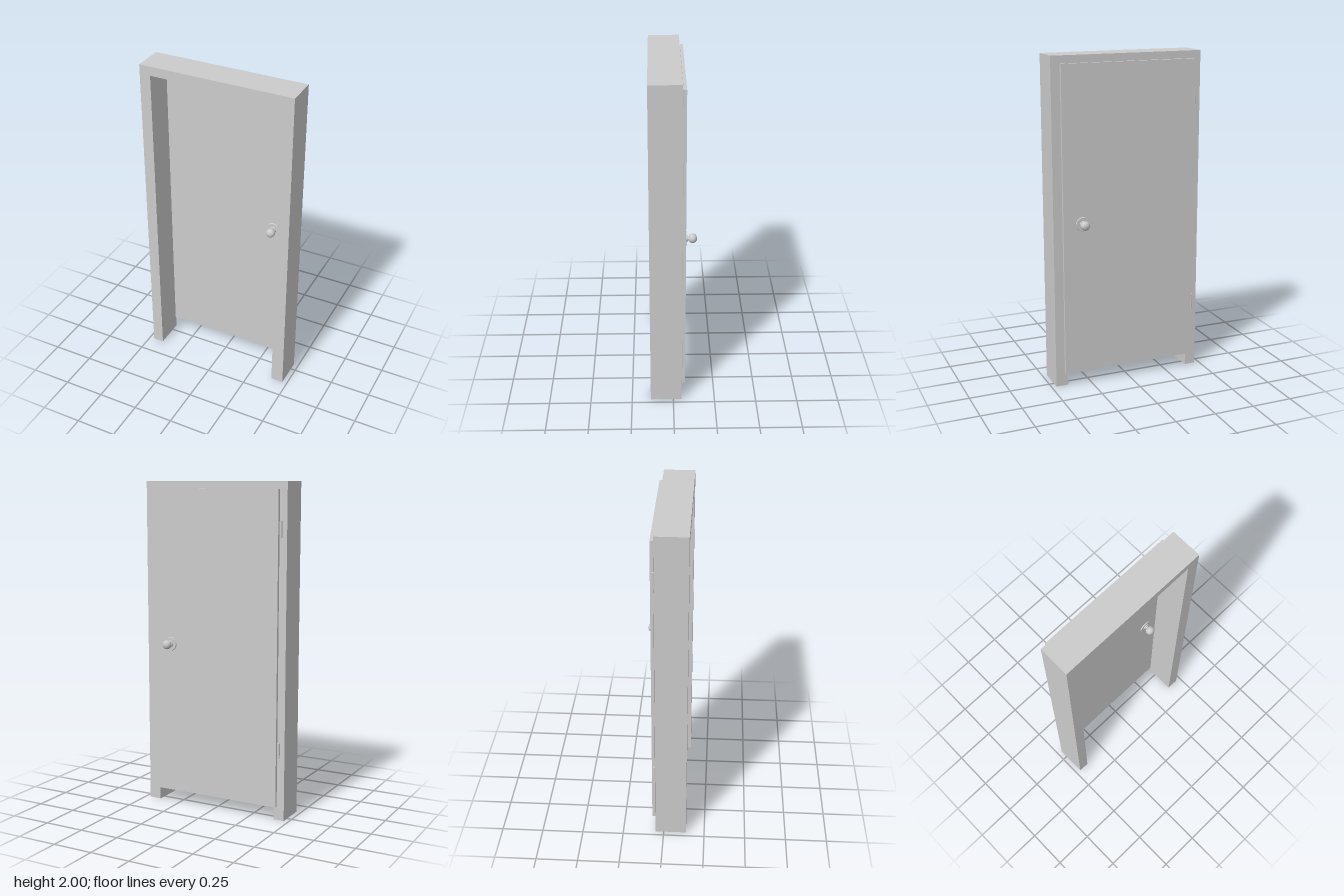
import * as THREE from 'three';

const material = new THREE.MeshStandardMaterial({ color: 0xcccccc });

function add(parent, name, geometry, x = 0, y = 0, z = 0) {
  const mesh = new THREE.Mesh(geometry, material);
  mesh.name = name;
  mesh.position.set(x, y, z);
  parent.add(mesh);
  return mesh;
}

// Box given by its lower and upper corners
function addBox(parent, name, [x0, y0, z0], [x1, y1, z1]) {
  return add(parent, name, new THREE.BoxGeometry(x1 - x0, y1 - y0, z1 - z0),
    (x0 + x1) / 2, (y0 + y1) / 2, (z0 + z1) / 2);
}

// Door handle along +y: round plate, stepped neck and slightly flattened ball
function makeKnob(name) {
  const knob = new THREE.Group();
  knob.name = name;
  add(knob, 'knobPlate', new THREE.CylinderGeometry(0.041, 0.043, 0.006, 32), 0, 0.003, 0);
  add(knob, 'knobCollar', new THREE.CylinderGeometry(0.019, 0.021, 0.007, 32), 0, 0.0095, 0);
  add(knob, 'knobNeck', new THREE.CylinderGeometry(0.013, 0.013, 0.014, 24), 0, 0.016, 0);
  const profile = [
    [0, 0.018], [0.013, 0.019], [0.021, 0.024], [0.026, 0.032], [0.028, 0.042],
    [0.026, 0.052], [0.021, 0.06], [0.013, 0.065], [0, 0.067],
  ].map(([r, y]) => new THREE.Vector2(r, y));
  add(knob, 'knobBall', new THREE.LatheGeometry(profile, 32));
  return knob;
}

export function createModel() {
  const model = new THREE.Group();
  model.name = 'doorway';

  // Frame: two jambs and a header in one piece, open at the floor
  const outline = new THREE.Shape([
    [-0.47, 0], [-0.403, 0], [-0.403, 1.945], [0.394, 1.945],
    [0.394, 0], [0.47, 0], [0.47, 2], [-0.47, 2],
  ].map(([x, y]) => new THREE.Vector2(x, y)));
  add(model, 'frame', new THREE.ExtrudeGeometry(outline, { depth: 0.187, bevelEnabled: false }), 0, 0, -0.05);

  // Door: overlapping outer panel and a smaller slab that fits the opening
  const door = new THREE.Group();
  door.name = 'door';
  model.add(door);
  addBox(door, 'doorOuterPanel', [-0.425, 0.083, -0.073], [0.416, 1.955, -0.055]);
  addBox(door, 'doorInnerSlab', [-0.402, 0.083, -0.055], [0.385, 1.944, -0.042]);

  // A knob on each face of the door
  for (const [name, z, side] of [['backKnob', -0.073, -1], ['frontKnob', -0.042, 1]]) {
    const knob = makeKnob(name);
    knob.position.set(0.296, 1.015, z);
    knob.rotation.x = side * Math.PI / 2;
    door.add(knob);
  }

  // Hinge barrels on the back of the frame
  for (const [name, y] of [['upperHinge', 1.73], ['lowerHinge', 0.43]]) {
    add(model, name, new THREE.CylinderGeometry(0.008, 0.008, 0.095, 16), -0.434, y, -0.057);
  }

  return model;
}
